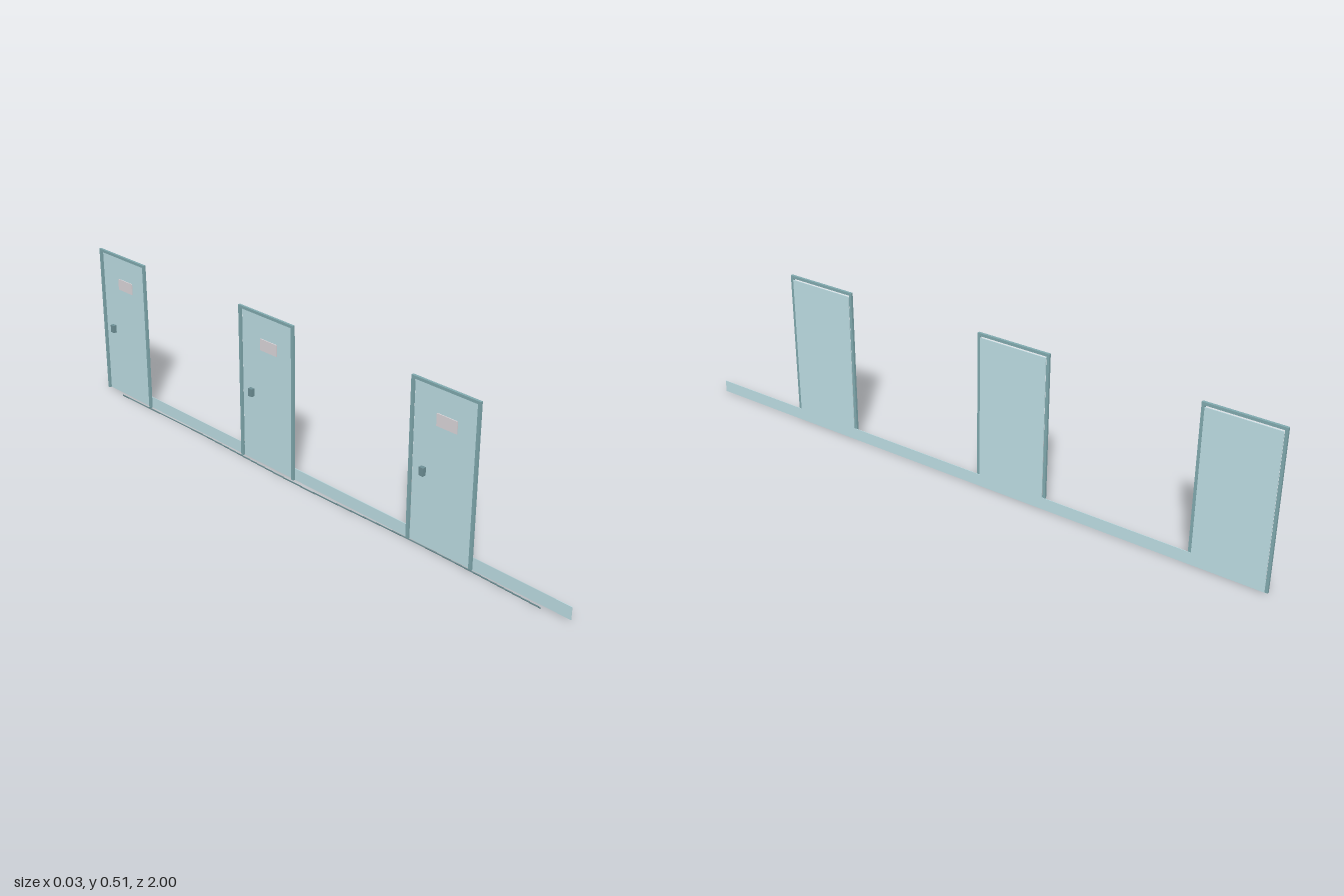
import * as THREE from 'three';

const mat = (name, color) => {
  const m = new THREE.MeshStandardMaterial({ color });
  m.name = name;
  return m;
};

export function createModel() {
  const paint = mat('pale teal paint', 0xbddde3);
  const frameMat = mat('frame teal', 0x80a9ae);
  const plateMat = mat('plate grey', 0xdcd6da);
  const handleMat = mat('handle teal', 0x6e9096);
  const cableMat = mat('cable teal', 0x68898e);

  const group = new THREE.Group();
  group.name = 'corridorDoors';

  // Box from minimum and maximum corners
  const box = (parent, name, material, a, b) => {
    const mesh = new THREE.Mesh(
      new THREE.BoxGeometry(b[0] - a[0], b[1] - a[1], b[2] - a[2]), material);
    mesh.position.set((a[0] + b[0]) / 2, (a[1] + b[1]) / 2, (a[2] + b[2]) / 2);
    mesh.name = name;
    parent.add(mesh);
  };

  // Three identical doors; local z runs from the handle side to the hinge side
  const width = 0.243, height = 0.513, rim = 0.009;

  // Long skirting strip running behind every door
  box(group, 'skirting', paint, [0.0127, 0, -1 + rim], [0.0143, 0.04, 1]);

  for (const z of [-1, -0.288, 0.424]) {
    const door = new THREE.Group();
    door.name = 'door';
    door.position.z = z;
    group.add(door);

    // Frame: two jambs and a header
    box(door, 'jamb', frameMat, [0.005, 0, 0], [0.013, height, rim]);
    box(door, 'jamb', frameMat, [0.005, 0, width - rim], [0.013, height, width]);
    box(door, 'header', frameMat, [0.005, height - rim, rim], [0.013, height, width - rim]);

    // Thin door leaf at the far face of the frame, with a slit around it
    box(door, 'leaf', paint, [0.0123, 0.002, rim + 0.001], [0.0145, 0.5, width - rim - 0.001]);

    // Handle block
    box(door, 'handle', handleMat, [0, 0.223, 0.044], [0.0123, 0.249, 0.06]);

    // Name plate
    box(door, 'plate', plateMat, [0.0095, 0.389, 0.092], [0.0123, 0.427, 0.165]);
  }

  // Thin cable lying in front of the doors in a shallow wave
  const path = new THREE.CatmullRomCurve3([
    [-0.012, -0.89], [-0.007, -0.5], [-0.015, 0], [-0.004, 0.5], [-0.011, 0.92],
  ].map(([x, z]) => new THREE.Vector3(x, 0.009, z)));
  const cable = new THREE.Mesh(new THREE.TubeGeometry(path, 40, 0.0022, 6), cableMat);
  cable.name = 'cable';
  group.add(cable);

  return group;
}
